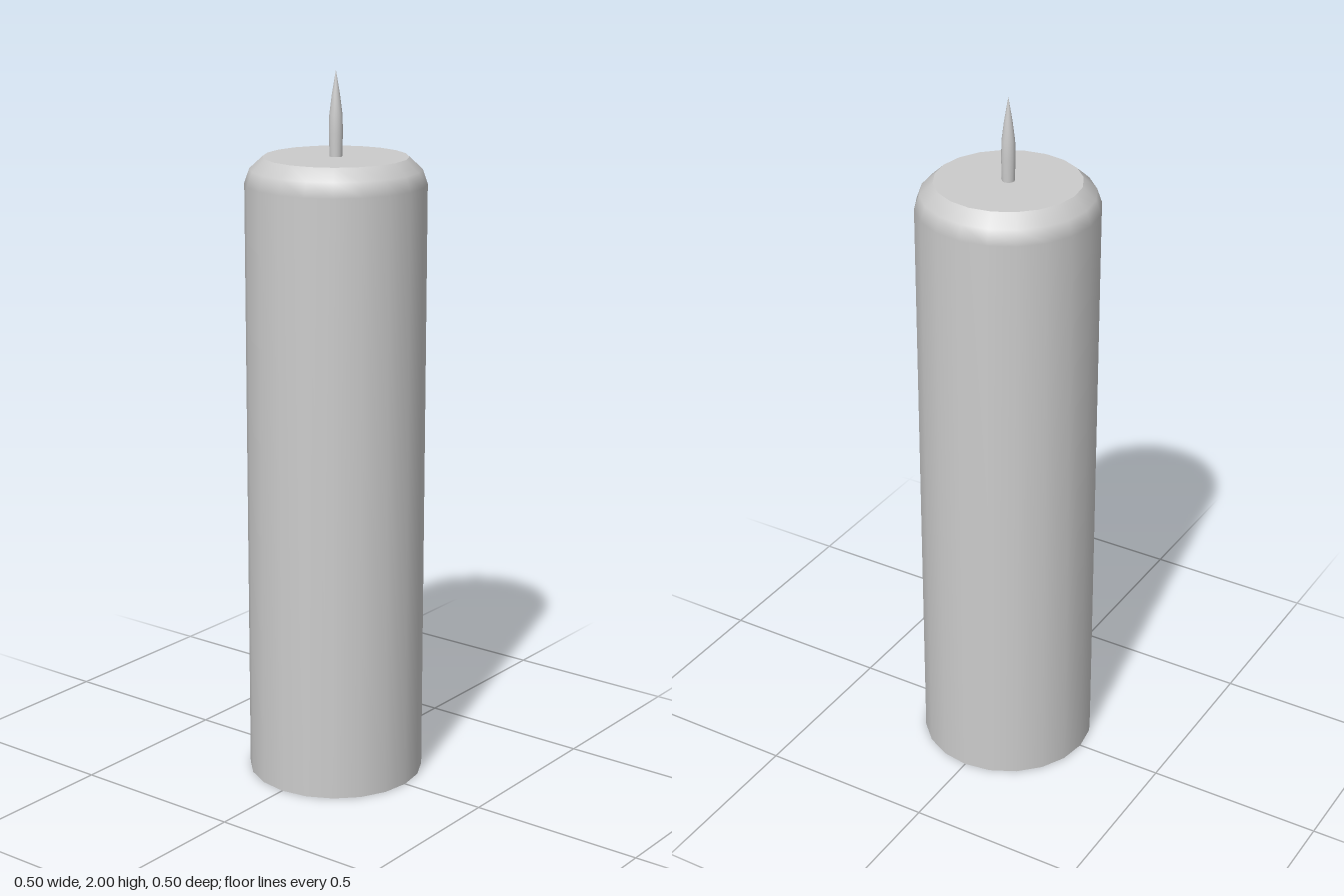
import * as THREE from 'three';

const SIDES = 20;
const RADIUS = 0.248, RIM = 0.198, TOP = 1.768;

export function createModel() {
  const group = new THREE.Group();
  const material = new THREE.MeshStandardMaterial({ color: 0xcccccc });

  const add = (name, geometry, y = 0) => {
    const mesh = new THREE.Mesh(geometry, material);
    mesh.name = name;
    mesh.position.y = y;
    group.add(mesh);
    return mesh;
  };
  const lathe = (points, sides) =>
    new THREE.LatheGeometry(points.map(([r, y]) => new THREE.Vector2(r, y)), sides);
  // Flat disc whose corners line up with the lathe
  const disc = (radius, up) =>
    new THREE.CircleGeometry(radius, SIDES).rotateX(up ? -Math.PI / 2 : Math.PI / 2);

  // Wax column with a rounded shoulder
  add('candleBody', lathe([
    [RADIUS, 0], [RADIUS, 1.695], [0.234, 1.735], [RIM, TOP],
  ], SIDES));
  add('candleTop', disc(RIM, true), TOP);
  add('candleBase', disc(RADIUS, false));

  // Thin wick drawn out to a point
  add('wick', lathe([
    [0.017, TOP - 0.01], [0.019, 1.83], [0.018, 1.88], [0.011, 1.935], [0, 2],
  ], 16));

  return group;
}
